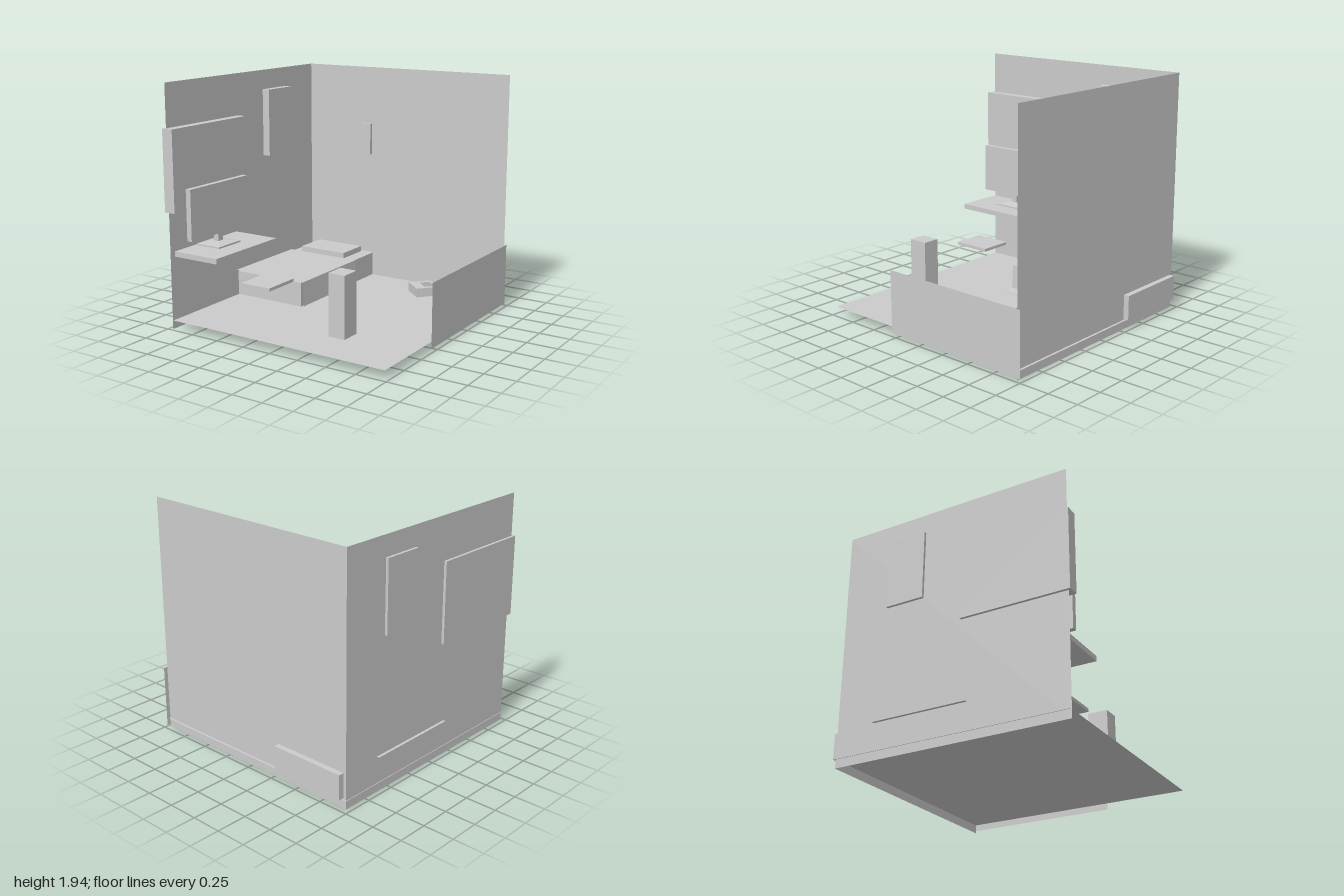
import * as THREE from 'three';

export function createModel() {
  const room = new THREE.Group();
  room.name = 'bedroom';
  const solid = new THREE.MeshStandardMaterial({ color: 0xcccccc, flatShading: true });
  const thin = new THREE.MeshStandardMaterial({ color: 0xcccccc, flatShading: true, side: THREE.DoubleSide });

  function add(name, geometry, material = solid, parent = room) {
    const mesh = new THREE.Mesh(geometry, material);
    mesh.name = name;
    parent.add(mesh);
    return mesh;
  }

  // Box given by its extents on each axis
  function block(name, [x0, x1], [y0, y1], [z0, z1], parent = room) {
    const mesh = add(name, new THREE.BoxGeometry(x1 - x0, y1 - y0, z1 - z0), solid, parent);
    mesh.position.set((x0 + x1) / 2, (y0 + y1) / 2, (z0 + z1) / 2);
    return mesh;
  }

  // Thin sheets in the three main planes
  function sheetXY(name, [x0, x1], [y0, y1], z) {
    const mesh = add(name, new THREE.PlaneGeometry(x1 - x0, y1 - y0), thin);
    mesh.position.set((x0 + x1) / 2, (y0 + y1) / 2, z);
  }
  function sheetYZ(name, x, [y0, y1], [z0, z1]) {
    const mesh = add(name, new THREE.PlaneGeometry(z1 - z0, y1 - y0).rotateY(Math.PI / 2), thin);
    mesh.position.set(x, (y0 + y1) / 2, (z0 + z1) / 2);
  }
  function sheetXZ(name, [x0, x1], y, [z0, z1]) {
    const mesh = add(name, new THREE.PlaneGeometry(x1 - x0, z1 - z0).rotateX(-Math.PI / 2), thin);
    mesh.position.set((x0 + x1) / 2, y, (z0 + z1) / 2);
  }

  // Room shell
  sheetXZ('floor', [-0.967, 0.975], 0.07, [-0.962, 0.975]);
  sheetXZ('carpet', [-0.563, 0.975], 0.078, [-0.967, 0.355]);
  sheetXY('backWall', [-0.962, 0.976], [0, 1.944], -0.955);
  sheetYZ('sideWall', -0.962, [0, 1.944], [-0.955, 0.98]);
  sheetXY('backPanel', [-0.31, 0.982], [0.085, 0.53], -0.94);
  sheetYZ('sidePanel', 0.982, [0.02, 0.53], [-0.984, 0.31]);

  // Wall fittings
  block('tallPicture', [-0.984, -0.897], [1.214, 1.78], [-0.556, -0.23]);
  block('largePicture', [-0.984, -0.887], [0.945, 1.597], [0.108, 1]);
  block('smallPicture', [-0.384, -0.29], [1.188, 1.458], [-0.913, -0.882]);

  // Bed with pillow
  const bed = new THREE.Group();
  bed.name = 'bed';
  room.add(bed);
  block('mattress', [-0.938, -0.294], [0.084, 0.285], [-1, 0.178], bed);
  block('pillow', [-0.854, -0.407], [0.285, 0.333], [-0.923, -0.632], bed);

  // Blanket: one profile across the bed, down its side and out over the floor
  const profile = [[-0.984, 0.29], [-0.279, 0.29], [-0.267, 0.09], [-0.2, 0.083], [-0.095, 0.086]];
  const blanket = new THREE.PlaneGeometry(1, 1, profile.length - 1, 1);
  const p = blanket.attributes.position;
  for (let i = 0; i < p.count; i++) {
    const [x, y] = profile[i % profile.length];
    p.setXYZ(i, x, y, i < profile.length ? -0.625 : 0.172);
  }
  blanket.computeVertexNormals();
  add('blanket', blanket, thin, bed);

  // Desk and seat
  block('deskTop', [-0.935, -0.52], [0.592, 0.634], [0.2, 0.96]);
  block('seat', [-0.468, -0.196], [0.373, 0.398], [0.414, 0.732]);

  // Monitor on a shallow pyramid foot
  const monitor = new THREE.Group();
  monitor.name = 'monitor';
  room.add(monitor);
  block('screen', [-0.824, -0.779], [0.726, 1.135], [0.239, 0.936], monitor);
  block('neck', [-0.824, -0.779], [0.65, 0.726], [0.563, 0.62], monitor);
  block('footPlate', [-0.916, -0.688], [0.635, 0.648], [0.453, 0.722], monitor);
  const footTop = new THREE.CylinderGeometry(0.12, Math.SQRT1_2, 1, 4, 1).rotateY(Math.PI / 4);
  const slope = add('footSlope', footTop, solid, monitor);
  slope.scale.set(0.228, 0.017, 0.269);
  slope.position.set(-0.802, 0.6565, 0.5875);

  // Upright box standing on the floor
  block('pedestal', [0.294, 0.437], [0.087, 0.582], [0.492, 0.655]);

  // Turned box with a recess in its top
  const tray = new THREE.Group();
  tray.name = 'openBox';
  tray.position.set(0.39, 0.1, -0.645);
  tray.rotation.y = -0.71;
  room.add(tray);
  const rect = (T, x, y, w, h) => new T([
    new THREE.Vector2(x - w / 2, y - h / 2), new THREE.Vector2(x + w / 2, y - h / 2),
    new THREE.Vector2(x + w / 2, y + h / 2), new THREE.Vector2(x - w / 2, y + h / 2),
  ]);
  const rim = rect(THREE.Shape, 0, 0, 0.2, 0.193);
  rim.holes.push(rect(THREE.Path, 0.003, 0.031, 0.124, 0.09));
  const walls = new THREE.ExtrudeGeometry(rim, { depth: 0.045, bevelEnabled: false });
  add('openBoxRim', walls.rotateX(-Math.PI / 2).translate(0, 0.03, 0), solid, tray);
  block('openBoxBase', [-0.1, 0.1], [0, 0.03], [-0.0965, 0.0965], tray);

  return room;
}
